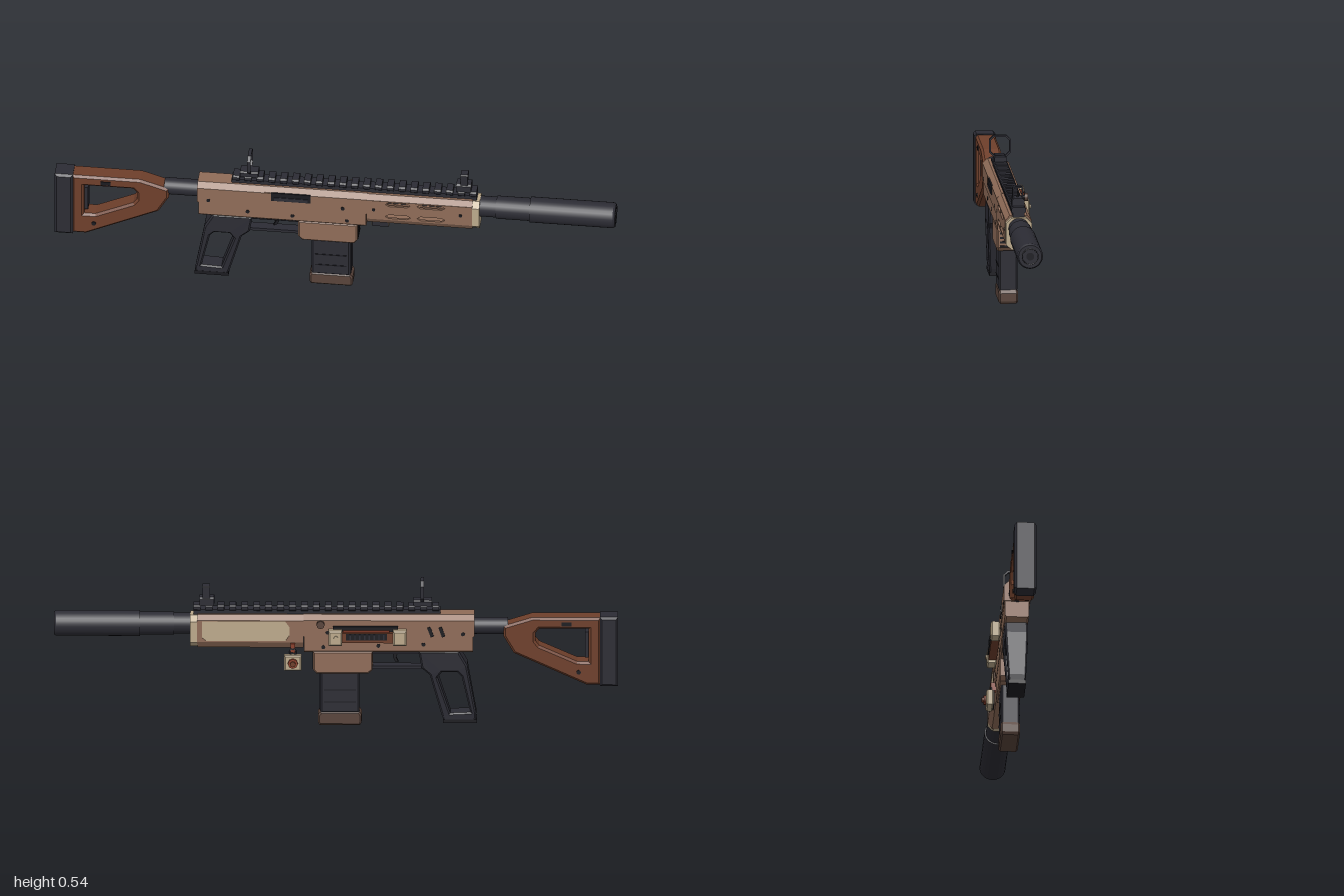
import * as THREE from 'three';

const mat = (name, color) => {
  const m = new THREE.MeshStandardMaterial({ color });
  m.name = name;
  return m;
};

export function createModel() {
  const tan = mat('tan', 0x8f6c58), wood = mat('redBrown', 0x6e3f2b), dark = mat('charcoal', 0x2c2c34),
    black = mat('black', 0x1b1b20), cream = mat('cream', 0xbcaa8c), umber = mat('umber', 0x59443b),
    red = mat('rust', 0x8c402c);
  const root = new THREE.Group();
  root.name = 'model';
  const body = new THREE.Group();
  body.name = 'body';
  body.position.z = 0.02; // side fittings shift the centre line
  root.add(body);

  const add = (name, geo, m, x = 0, y = 0, z = 0) => {
    const mesh = new THREE.Mesh(geo, m);
    mesh.name = name;
    mesh.position.set(x, y, z);
    body.add(mesh);
    return mesh;
  };
  const toShape = (pts, holes = []) => {
    const s = new THREE.Shape(pts.map(p => new THREE.Vector2(...p)));
    holes.forEach(h => s.holes.push(new THREE.Path(h.map(p => new THREE.Vector2(...p)))));
    return s;
  };
  const rect = (x0, x1, y0, y1) => [[x0, y0], [x1, y0], [x1, y1], [x0, y1]];
  // Side outline extruded across the width, with chamfered edges
  const side = (pts, width, bevel = 0, holes = []) => {
    const d = width - 2 * bevel;
    return new THREE.ExtrudeGeometry(toShape(pts, holes), {
      depth: d, bevelEnabled: bevel > 0, bevelThickness: bevel, bevelSize: bevel,
      bevelOffset: -bevel, bevelSegments: 1,
    }).translate(0, 0, -d / 2);
  };
  // Cross-section (z, y) extruded along x
  const along = (pts, x0, x1, holes = []) =>
    new THREE.ExtrudeGeometry(toShape(pts, holes), { depth: x1 - x0, bevelEnabled: false })
      .rotateY(Math.PI / 2).translate(x0, 0, 0);
  // Section with cut corners: half width, bottom, top, lower cut, upper cut
  const section = (w, y0, y1, cb, ct) => [[-w + cb, y0], [w - cb, y0], [w, y0 + cb], [w, y1 - ct],
    [w - ct, y1], [-w + ct, y1], [-w, y1 - ct], [-w, y0 + cb]];
  const box = (name, x0, x1, y0, y1, z0, z1, m) =>
    add(name, new THREE.BoxGeometry(x1 - x0, y1 - y0, z1 - z0), m, (x0 + x1) / 2, (y0 + y1) / 2, (z0 + z1) / 2);
  const rod = (name, x0, x1, r0, r1, m, y = 0.37) =>
    add(name, new THREE.CylinderGeometry(r1, r0, x1 - x0, 28).rotateZ(-Math.PI / 2), m, (x0 + x1) / 2, y, 0);
  const pin = (name, x, y, z, r, len, m, sides = 12) =>
    add(name, new THREE.CylinderGeometry(r, r, len, sides).rotateX(Math.PI / 2), m, x, y, z);

  // Stock with open frame and butt pad
  add('buttPad', side(rect(-1, -0.935, 0.147, 0.405), 0.078, 0.008), dark);
  add('stock', side(
    [[-0.938, 0.152], [-0.888, 0.152], [-0.63, 0.27], [-0.593, 0.333], [-0.593, 0.37], [-0.695, 0.402], [-0.938, 0.402]],
    0.07, 0.008,
    [[[-0.895, 0.36], [-0.72, 0.36], [-0.707, 0.345], [-0.707, 0.315], [-0.72, 0.298], [-0.855, 0.238], [-0.895, 0.238]]]), wood);
  box('stockInset', -0.9, -0.882, 0.25, 0.345, -0.02, 0.02, dark);
  for (const s of [-1, 1]) {
    box('stockButton', -0.835, -0.8, 0.372, 0.386, s * 0.035 - 0.003, s * 0.035 + 0.003, black);
    pin('stockScrew', -0.86, 0.2, s * 0.034, 0.008, 0.008, black);
  }
  rod('stockTube', -0.61, -0.485, 0.03, 0.03, dark, 0.363);

  // Receiver
  add('upperReceiver', along(section(0.047, 0.335, 0.413, 0, 0.018), -0.49, 0.115), tan);
  add('lowerReceiver', along(section(0.043, 0.275, 0.336, 0.006, 0), -0.485, 0.113), tan);
  add('magazineWell', side([[-0.13, 0.21], [-0.115, 0.195], [0.07, 0.195], [0.082, 0.21], [0.082, 0.278], [-0.13, 0.278]], 0.084, 0.005), tan);
  for (let i = 0; i < 4; i++) box('wellGroove', 0.079, 0.084, 0.209 + i * 0.016, 0.216 + i * 0.016, -0.031, 0.031, black);
  box('ejectionPort', -0.225, -0.085, 0.364, 0.398, 0.044, 0.049, black);
  box('portCover', -0.215, -0.095, 0.366, 0.38, 0.047, 0.051, dark);
  box('deflector', -0.25, -0.228, 0.366, 0.397, 0.04, 0.05, tan);
  for (const [x, y] of [[-0.45, 0.345], [-0.31, 0.305], [0.03, 0.35], [0.045, 0.295], [-0.15, 0.3]])
    pin('receiverPin', x, y, 0, 0.007, y > 0.335 ? 0.097 : 0.089, black);
  for (const x of [-0.335, -0.375])
    box('selectorMark', x - 0.006, x + 0.006, 0.335, 0.372, -0.051, -0.046, black).rotation.z = -0.35;

  // Hollow handguard: top, bottom, slotted wall, panelled wall
  add('handguardTop', along([[-0.047, 0.393], [0.047, 0.393], [0.031, 0.412], [-0.031, 0.412]], 0.115, 0.492), tan);
  add('handguardBottom', along([[-0.031, 0.29], [0.031, 0.29], [0.047, 0.315], [-0.047, 0.315]], 0.115, 0.492), tan);
  const slot = (x0, x1, y) => [[x0, y], [x0 + 0.012, y - 0.008], [x1 - 0.012, y - 0.008], [x1, y], [x1 - 0.012, y + 0.008], [x0 + 0.012, y + 0.008]];
  const slots = [];
  for (const y of [0.381, 0.329]) slots.push(slot(0.182, 0.272, y), slot(0.295, 0.395, y));
  const wall = rect(0.115, 0.492, 0.314, 0.394);
  add('slottedWall', side(wall, 0.008, 0, slots), tan, 0, 0, 0.043);
  const panel = [[0.46, 0.318], [0.475, 0.33], [0.475, 0.391], [0.18, 0.391], [0.165, 0.37], [0.165, 0.34], [0.18, 0.318]];
  add('panelWall', side(wall, 0.008, 0, [panel]), tan, 0, 0, -0.043);
  add('sidePanel', new THREE.ShapeGeometry(toShape(panel.map(([x, y]) => [-x, y]))).rotateY(Math.PI), cream, 0, 0, -0.044);
  for (const x of [0.14, 0.45]) pin('guardScrew', x, 0.355, 0.046, 0.006, 0.006, black);
  add('handguardCap', along(section(0.046, 0.292, 0.408, 0.02, 0.02), 0.492, 0.517), cream);

  // Barrel and muzzle tube
  rod('barrel', 0.51, 0.58, 0.037, 0.037, dark);
  rod('muzzleCollar', 0.575, 0.695, 0.041, 0.041, dark);
  rod('muzzleTube', 0.695, 0.992, 0.046, 0.046, dark);
  rod('muzzleRim', 0.992, 1, 0.046, 0.041, dark);
  add('muzzleRing', new THREE.TorusGeometry(0.028, 0.002, 6, 28).rotateY(Math.PI / 2), black, 0.999, 0.37, 0);
  rod('bore', 0.99, 1.0005, 0.014, 0.014, black);

  // Top rail
  box('railBase', -0.37, 0.505, 0.408, 0.428, -0.021, 0.021, dark);
  for (let i = 0; i < 21; i++) {
    const x = -0.365 + i * 0.0423;
    add('railTooth', along(section(0.026, 0.422, 0.444, 0.006, 0.006), x, x + 0.024), dark);
  }

  // Sights
  add('rearSightBase', along(section(0.022, 0.44, 0.462, 0, 0.005), -0.34, -0.275), dark);
  add('rearSightRing', along(section(0.039, 0.457, 0.535, 0.016, 0.016), -0.312, -0.3,
    [section(0.033, 0.463, 0.529, 0.013, 0.013)]), dark);
  add('frontSightBase', along(section(0.022, 0.44, 0.472, 0, 0.007), 0.432, 0.485), dark);
  add('frontSightFrame', along(section(0.019, 0.468, 0.512, 0, 0.004), 0.447, 0.473,
    [section(0.0145, 0.472, 0.507, 0, 0.003)]), dark);
  add('frontSightPost', new THREE.CylinderGeometry(0.001, 0.004, 0.03, 8), black, 0.46, 0.483, 0);

  // Skeleton grip, slimmer toward the foot
  const grip = side(
    [[-0.495, 0.013], [-0.385, 0.01], [-0.375, 0.035], [-0.332, 0.19], [-0.303, 0.215], [-0.293, 0.278], [-0.435, 0.278], [-0.465, 0.225], [-0.497, 0.045]],
    0.082, 0.006,
    [[[-0.476, 0.048], [-0.405, 0.045], [-0.36, 0.18], [-0.375, 0.2], [-0.43, 0.2], [-0.445, 0.185]]]);
  const p = grip.attributes.position;
  for (let i = 0; i < p.count; i++)
    p.setZ(i, p.getZ(i) * THREE.MathUtils.mapLinear(THREE.MathUtils.clamp(p.getY(i), 0.02, 0.2), 0.02, 0.2, 0.74, 1));
  grip.computeVertexNormals();
  add('grip', grip, dark);
  box('gripFoot', -0.5, -0.38, 0.008, 0.022, -0.031, 0.031, black);

  // Trigger and guard
  box('triggerGuard', -0.305, -0.125, 0.206, 0.217, -0.018, 0.018, dark);
  box('triggerPlate', -0.3, -0.13, 0.264, 0.277, -0.028, 0.028, dark);
  add('trigger', side([[-0.222, 0.27], [-0.2, 0.27], [-0.202, 0.245], [-0.21, 0.23], [-0.222, 0.228], [-0.213, 0.245]], 0.014), black);

  // Magazine
  add('magazine', side([[-0.083, 0.045], [0.055, 0.045], [0.055, 0.2], [-0.083, 0.2]], 0.066, 0.006), dark);
  for (const s of [-1, 1]) for (const y of [0.085, 0.13])
    box('magazineGroove', -0.07, 0.042, y, y + 0.004, s * 0.0325 - 0.002, s * 0.0325 + 0.002, black);
  box('magazineRib', 0.05, 0.058, 0.055, 0.197, -0.025, 0.025, dark);
  add('magazineBase', side([[-0.085, 0], [0.058, 0], [0.064, 0.01], [0.064, 0.038], [0.055, 0.05], [-0.083, 0.05], [-0.091, 0.038], [-0.091, 0.01]], 0.068, 0.006), umber);

  // Side canister with cream ends and dark grille
  box('canisterMount', -0.22, 0.01, 0.345, 0.375, -0.056, -0.045, black);
  box('canister', -0.215, 0.0, 0.32, 0.357, -0.074, -0.045, wood);
  box('canisterGrille', -0.18, -0.035, 0.332, 0.355, -0.078, -0.073, black);
  for (let i = 0; i < 8; i++) box('grilleBar', -0.172 + i * 0.017, -0.167 + i * 0.017, 0.334, 0.353, -0.079, -0.076, dark);
  box('canisterStripe', -0.19, -0.025, 0.357, 0.361, -0.072, -0.046, red);
  for (const x of [-0.25, -0.022])
    add('canisterEnd', side(rect(x, x + 0.048, 0.31, 0.365), 0.034, 0.005), cream, 0, 0, -0.062);
  pin('canisterKnob', 0.0, 0.34, -0.08, 0.008, 0.008, cream);

  // Charging knob
  pin('chargingStem', 0.055, 0.385, -0.052, 0.007, 0.02, black);
  pin('chargingKnob', 0.055, 0.385, -0.063, 0.014, 0.012, umber);

  // Hanging charm
  add('charm', side(rect(0.122, 0.184, 0.215, 0.272), 0.026, 0.005), cream, 0, 0, -0.06);
  box('charmBack', 0.124, 0.182, 0.217, 0.27, -0.048, -0.044, dark);
  pin('charmDial', 0.153, 0.244, -0.076, 0.018, 0.01, red, 8);
  pin('charmHub', 0.153, 0.244, -0.083, 0.01, 0.01, wood, 8);
  add('charmRing', new THREE.TorusGeometry(0.012, 0.003, 6, 16), dark, 0.153, 0.28, -0.055);
  box('charmHook', 0.145, 0.161, 0.278, 0.31, -0.056, -0.035, red);
  return root;
}
